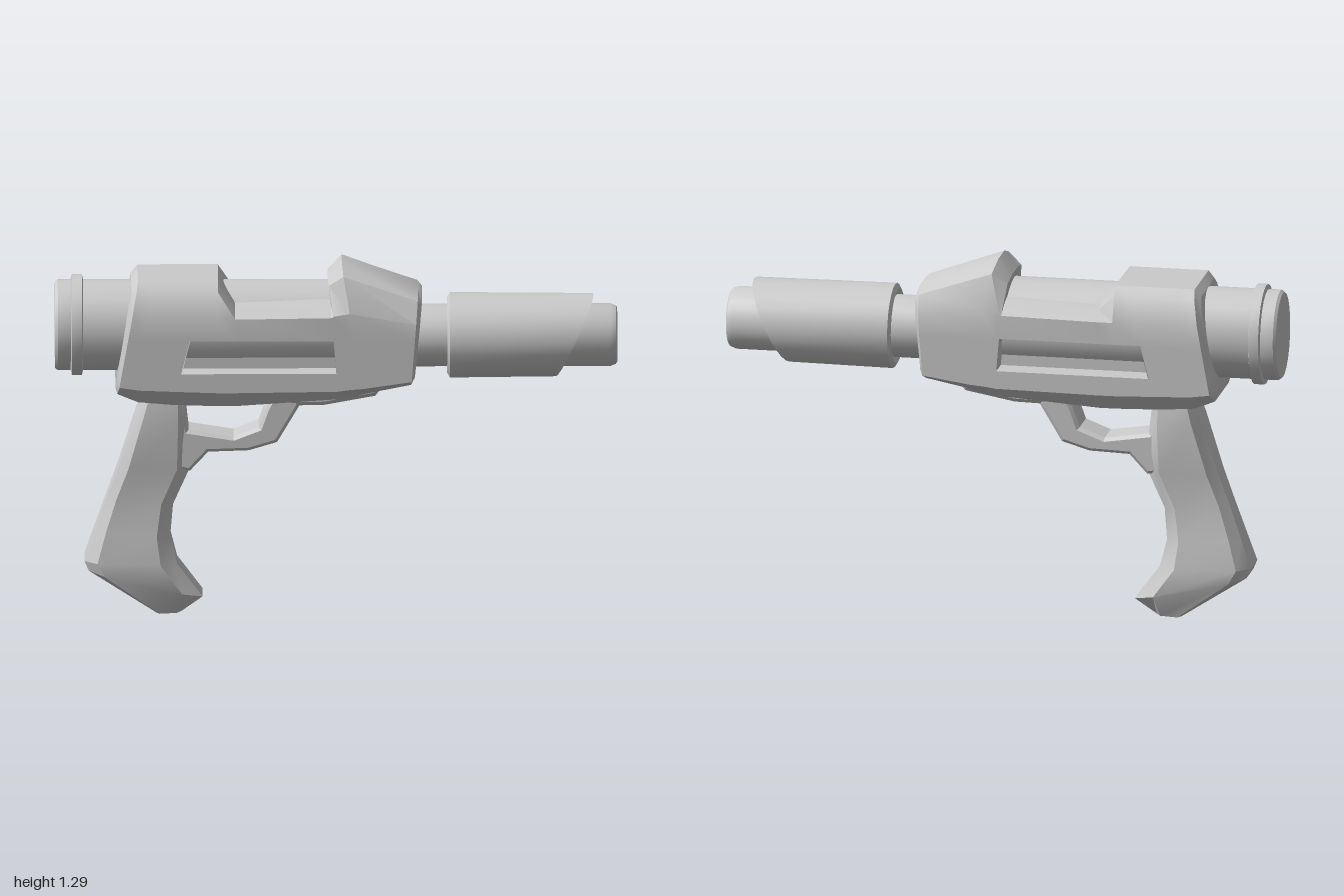
import * as THREE from 'three';
import { toCreasedNormals } from 'three/addons/utils/BufferGeometryUtils.js';

const material = new THREE.MeshStandardMaterial({ color: 0xcccccc, side: THREE.DoubleSide });
const AXIS_Y = 1.013; // height of the barrel axis

function addPart(group, name, geometry, crease = 0.55) {
  const mesh = new THREE.Mesh(toCreasedNormals(geometry, crease), material);
  mesh.name = name;
  group.add(mesh);
  return mesh;
}

// Skin a row of equal-length closed rings; skip(i, j) leaves a panel open.
function loft(rings, { skip = () => false, startCap = true, endCap = true } = {}) {
  const pos = [];
  const tri = (a, b, c) => pos.push(...a, ...b, ...c);
  const n = rings[0].length;
  for (let i = 0; i < rings.length - 1; i++) {
    for (let j = 0; j < n; j++) {
      if (skip(i, j)) continue;
      const k = (j + 1) % n;
      const [a, b, c, d] = [rings[i][j], rings[i][k], rings[i + 1][k], rings[i + 1][j]];
      tri(a, b, c);
      tri(a, c, d);
    }
  }
  const cap = (ring, flip) => {
    const mid = [0, 1, 2].map(q => ring.reduce((s, p) => s + p[q], 0) / n);
    ring.forEach((p, j) => {
      const next = ring[(j + 1) % n];
      flip ? tri(mid, next, p) : tri(mid, p, next);
    });
  };
  if (startCap) cap(rings[0], true);
  if (endCap) cap(rings[rings.length - 1], false);
  const g = new THREE.BufferGeometry();
  g.setAttribute('position', new THREE.Float32BufferAttribute(pos, 3));
  g.computeVertexNormals();
  return g;
}

// Turned part along x from [radius, x] pairs
function turned(profile, segments = 24) {
  const g = new THREE.LatheGeometry(profile.map(p => new THREE.Vector2(...p)), segments);
  return g.rotateZ(-Math.PI / 2);
}

// Bevelled plate in the xy plane, centred on z = 0
function plate(outline, halfWidth, bevel, hole) {
  const vecs = pts => pts.map(p => new THREE.Vector2(...p));
  const shape = new THREE.Shape(vecs(outline));
  if (hole) shape.holes.push(new THREE.Path(vecs(hole)));
  const depth = 2 * (halfWidth - bevel);
  const g = new THREE.ExtrudeGeometry(shape, {
    depth, bevelSize: bevel, bevelThickness: bevel, bevelOffset: -bevel, bevelSegments: 1,
  });
  return g.translate(0, 0, -depth / 2);
}

// Body cross-section: x leans from xTop (y 1.24) to xLow (y 0.85)
function bodyRing([xTop, xLow, yt, zt, ym, zm, ys, w, yl, zb, yb]) {
  const half = [[yt, 0], [yt, zt], [ym, zm], [ys, w], [1.04, w], [0.92, w], [yl, w], [yb, zb], [yb, 0]];
  const pts = half.map(([y, z]) => [xTop + (xLow - xTop) * (1.24 - y) / 0.39, y, z]);
  return [...pts, ...pts.slice(1, -1).reverse().map(([x, y, z]) => [x, y, -z])];
}

// Grip cross-section between a back point and a front point
function gripRing([xb, yb, xf, yf, w]) {
  const half = [[1, 0.6], [0.82, 1], [0.14, 1], [0, 0.6]];
  const pts = half.map(([t, s]) => [xb + (xf - xb) * t, yb + (yf - yb) * t, w * s]);
  return [...pts, ...pts.slice().reverse().map(([x, y, z]) => [x, y, -z])];
}

export function createModel() {
  const model = new THREE.Group();
  model.name = 'blaster';

  // Main housing: rear block, dipped middle, raised front hood
  const stations = [
    [-0.725, -0.785, 1.215, 0.12, 1.19, 0.15, 1.10, 0.175, 0.885, 0.12, 0.85],
    [-0.705, -0.775, 1.24, 0.13, 1.21, 0.165, 1.12, 0.2, 0.87, 0.13, 0.83],
    [-0.66, -0.70, 1.24, 0.13, 1.21, 0.165, 1.12, 0.2, 0.86, 0.13, 0.80],
    [-0.47, -0.57, 1.24, 0.13, 1.21, 0.165, 1.12, 0.2, 0.855, 0.13, 0.79],
    [-0.42, -0.42, 1.24, 0.13, 1.21, 0.165, 1.12, 0.2, 0.85, 0.13, 0.785],
    [-0.36, -0.36, 1.16, 0.10, 1.15, 0.14, 1.12, 0.2, 0.85, 0.13, 0.785],
    [-0.026, 0.006, 1.17, 0.10, 1.16, 0.14, 1.125, 0.2, 0.855, 0.13, 0.81],
    [-0.03, 0.04, 1.24, 0.05, 1.225, 0.13, 1.13, 0.2, 0.86, 0.13, 0.815],
    [0.03, 0.10, 1.295, 0.055, 1.265, 0.155, 1.14, 0.2, 0.865, 0.13, 0.83],
    [0.295, 0.265, 1.195, 0.06, 1.175, 0.155, 1.10, 0.2, 0.89, 0.14, 0.865],
    [0.312, 0.275, 1.18, 0.05, 1.16, 0.14, 1.09, 0.175, 0.905, 0.125, 0.885],
  ];
  const isSlot = (i, j) => i >= 3 && i <= 5 && (j === 4 || j === 11);
  addPart(model, 'housing', loft(stations.map(bodyRing), { skip: isSlot }));

  // Recessed side slots
  const corners = [[-0.52, 1.04], [-0.55, 0.92], [0, 0.92], [-0.01, 1.04]];
  for (const side of [1, -1]) {
    const order = side > 0 ? corners : corners.slice().reverse();
    const rings = [0.2, 0.115].map(z => order.map(([x, y]) => [x, y, z * side]));
    addPart(model, side > 0 ? 'leftSlot' : 'rightSlot', loft(rings, { startCap: false }), 0.3);
  }

  // Oval power tube running through the housing, with a rear band
  const tube = addPart(model, 'rearTube', turned([
    [0, -1], [0.155, -1], [0.163, -0.99], [0.163, -0.944], [0.181, -0.94], [0.181, -0.904],
    [0.163, -0.90], [0.163, 0.08], [0, 0.08],
  ]));
  tube.position.y = 1.052;
  tube.scale.z = 0.87;

  // Inner barrel with rounded lip and closed bore
  const barrel = addPart(model, 'barrel', turned([
    [0, 0.24], [0.112, 0.24], [0.112, 0.975], [0.104, 0.995], [0.097, 1], [0.09, 0.99],
    [0.087, 0.96], [0.082, 0.88], [0.065, 0.83], [0.035, 0.80], [0, 0.79],
  ]));
  barrel.position.y = AXIS_Y;

  // Barrel sleeve with a slanted front end
  const sleeve = turned([[0.105, 0.405], [0.135, 0.395], [0.152, 0.405], [0.148, 0.85], [0.105, 0.85]]);
  const p = sleeve.attributes.position;
  for (let i = 0; i < p.count; i++) {
    if (p.getX(i) > 0.7) p.setX(i, 0.848 + p.getY(i) * 0.46);
  }
  addPart(model, 'barrelSleeve', sleeve).position.y = AXIS_Y;

  // Grip with flared foot
  addPart(model, 'grip', loft([
    [-0.67, 0.85, -0.54, 0.85, 0.075],
    [-0.71, 0.74, -0.53, 0.70, 0.1],
    [-0.775, 0.54, -0.52, 0.54, 0.082],
    [-0.815, 0.43, -0.58, 0.405, 0.075],
    [-0.857, 0.31, -0.59, 0.29, 0.088],
    [-0.895, 0.20, -0.565, 0.19, 0.103],
    [-0.88, 0.165, -0.475, 0.07, 0.103],
    [-0.64, 0.005, -0.55, 0.01, 0.06],
  ].map(gripRing)));

  // Trigger guard loop
  addPart(model, 'triggerGuard', plate(
    [[-0.58, 0.84], [-0.58, 0.54], [-0.52, 0.53], [-0.455, 0.60], [-0.31, 0.605], [-0.21, 0.635], [-0.13, 0.77], [-0.13, 0.84]],
    0.07, 0.012,
    [[-0.54, 0.81], [-0.525, 0.68], [-0.365, 0.655], [-0.275, 0.69], [-0.25, 0.76], [-0.22, 0.81]],
  ), 0.3);

  // Rail under the front of the housing
  addPart(model, 'underRail', plate(
    [[-0.22, 0.90], [-0.2, 0.775], [-0.13, 0.77], [-0.04, 0.772], [0.14, 0.805], [0.18, 0.86], [0.18, 0.90]],
    0.075, 0.015,
  ), 0.3);

  return model;
}
